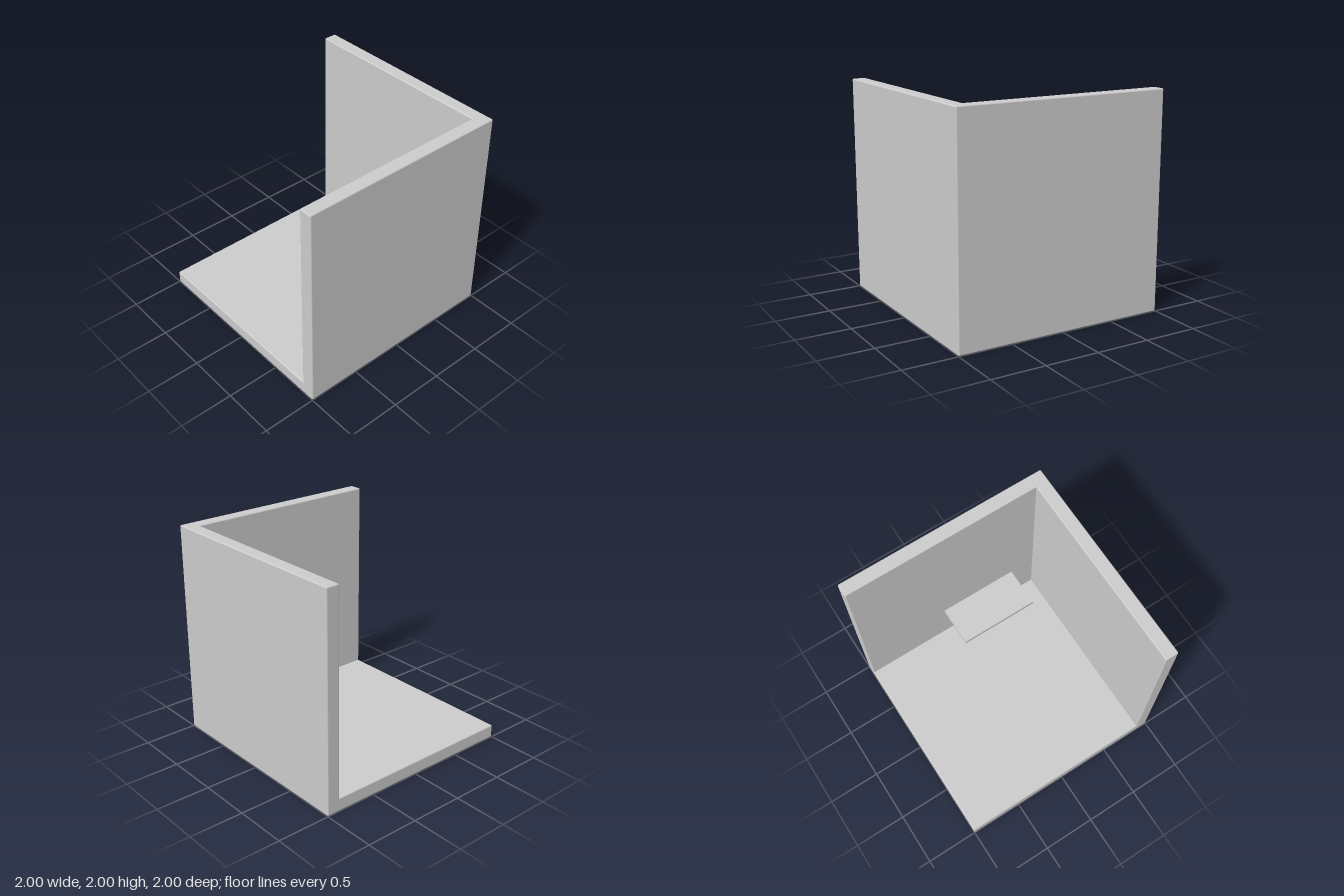
import * as THREE from 'three';
import { RoundedBoxGeometry } from 'three/addons/geometries/RoundedBoxGeometry.js';

export function createModel() {
  const model = new THREE.Group();
  model.name = 'cornerRoom';
  const plaster = new THREE.MeshStandardMaterial({ color: 0xcccccc });
  plaster.name = 'light grey plaster';

  const size = 2, thick = 0.125, bevel = 0.012;
  const inset = size / 2 - thick / 2;

  const add = (name, geometry, x, y, z) => {
    const mesh = new THREE.Mesh(geometry, plaster);
    mesh.name = name;
    mesh.position.set(x, y, z);
    model.add(mesh);
  };
  const slab = (w, h, d) => new RoundedBoxGeometry(w, h, d, 3, bevel);

  // Three softly bevelled slabs sharing one corner
  add('floor', slab(size, thick, size), 0, thick / 2, 0);
  add('backWall', slab(size, size, thick), 0, size / 2, -inset);
  add('sideWall', slab(thick, size, size), inset, size / 2, 0);

  // Sharp-edged shelf fixed to the back wall
  add('shelf', new THREE.BoxGeometry(0.77, 0.04, 0.39), 0.245, 0.58, -0.685);

  return model;
}
